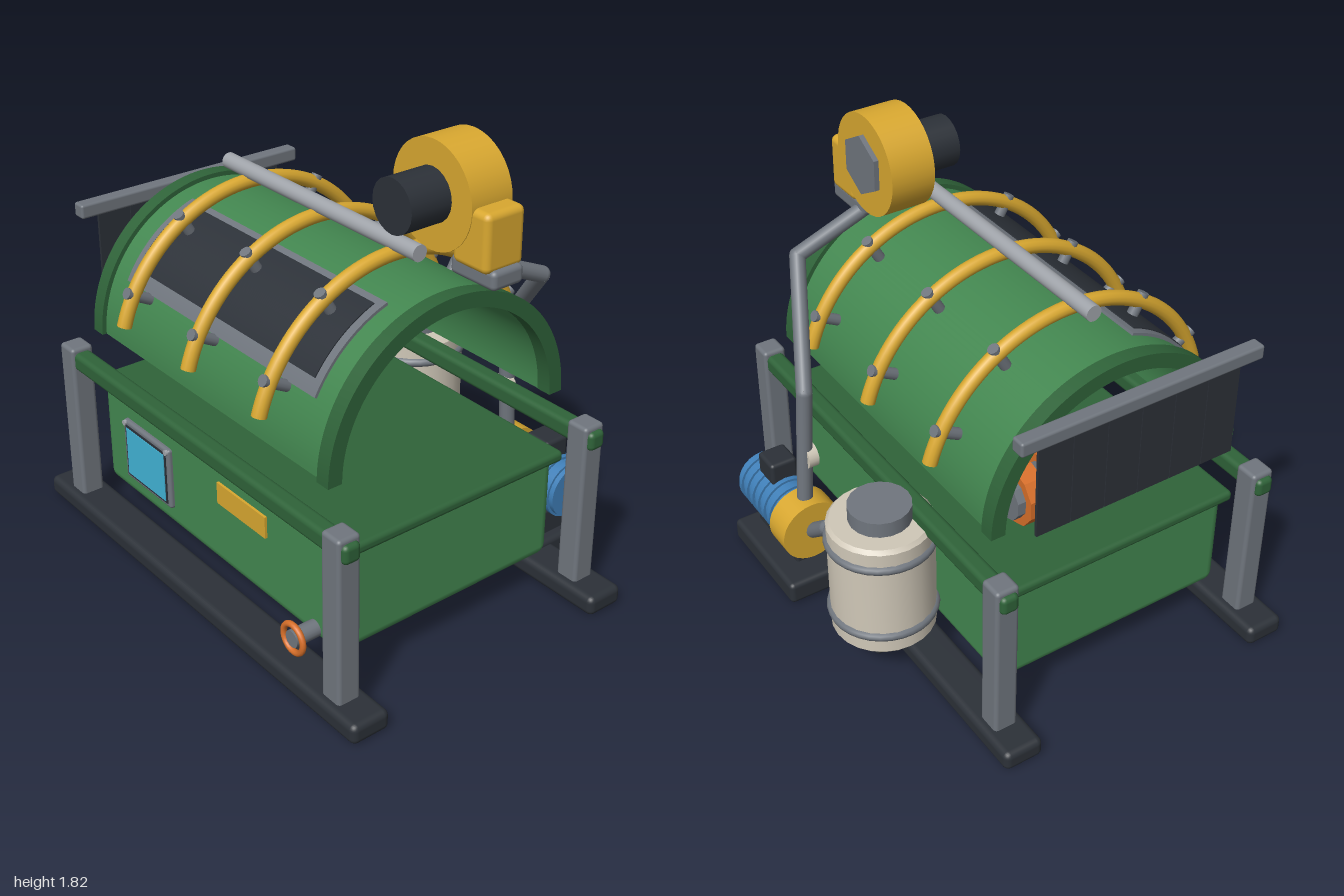
import * as THREE from 'three';
import { toCreasedNormals } from 'three/addons/utils/BufferGeometryUtils.js';
import { RoundedBoxGeometry } from 'three/addons/geometries/RoundedBoxGeometry.js';

const paint = (name, color) => Object.assign(new THREE.MeshStandardMaterial({ color }), { name });
const M = {
  green: paint('green', 0x438750),
  darkGreen: paint('dark green', 0x2f6339),
  dark: paint('charcoal', 0x2c3138),
  grey: paint('grey', 0x70767e),
  silver: paint('silver', 0xa0a4aa),
  yellow: paint('yellow', 0xd9a830),
  orange: paint('orange', 0xd9702a),
  blue: paint('blue', 0x3f7fb8),
  cream: paint('cream', 0xd0c8b8),
  cyan: paint('cyan', 0x42b4d6),
};
const MID = 0.125; // z of the hood axis
const HOOD_Y = 0.83;

export function createModel() {
  const root = new THREE.Group();
  root.name = 'washingMachine';

  const add = (name, geo, mat, parent = root) => {
    const mesh = new THREE.Mesh(geo, mat);
    mesh.name = name;
    parent.add(mesh);
    return mesh;
  };
  // Box given by its limits on each axis, rounded when r > 0
  const box = (name, mat, [x0, x1], [y0, y1], [z0, z1], r = 0) => {
    const s = [x1 - x0, y1 - y0, z1 - z0];
    const geo = r ? new RoundedBoxGeometry(...s, 3, r) : new THREE.BoxGeometry(...s);
    const mesh = add(name, geo, mat);
    mesh.position.set((x0 + x1) / 2, (y0 + y1) / 2, (z0 + z1) / 2);
    return mesh;
  };
  // Cylinder between two points
  const rod = (name, mat, a, b, r, sides = 24) => {
    const p = new THREE.Vector3(...a), q = new THREE.Vector3(...b);
    let geo = new THREE.CylinderGeometry(r, r, p.distanceTo(q), sides);
    if (sides < 12) geo = toCreasedNormals(geo, 0.3);
    const mesh = add(name, geo, mat);
    mesh.position.copy(p).lerp(q, 0.5);
    mesh.quaternion.setFromUnitVectors(new THREE.Vector3(0, 1, 0), q.sub(p).normalize());
    return mesh;
  };
  // Straight pipe runs with ball joints
  const pipe = (name, points, r) => {
    for (let i = 1; i < points.length; i++) {
      rod(name, M.grey, points[i - 1], points[i], r, 16);
      add(name + 'Joint', new THREE.SphereGeometry(r, 16, 10), M.grey).position.set(...points[i]);
    }
  };
  // Curved plate round the hood axis; angles measured from straight up towards the front
  const arch = (name, mat, r0, r1, a0, a1, x0, x1) => {
    const s = new THREE.Shape(), h = Math.PI / 2;
    s.absarc(0, 0, r1, h - a0, h - a1, true);
    s.absarc(0, 0, r0, h - a1, h - a0, false);
    const geo = new THREE.ExtrudeGeometry(s, { depth: x1 - x0, bevelEnabled: false, curveSegments: 40 });
    geo.rotateY(-Math.PI / 2);
    add(name, toCreasedNormals(geo, 0.6), mat).position.set(x1, HOOD_Y, MID);
  };

  // Frame: skids, posts and side rails
  for (const z of [0.685, -0.435]) {
    box('skid', M.dark, [-1, 1], [0, 0.08], [z - 0.08, z + 0.08], 0.025);
    box('sideRail', M.darkGreen, [-0.9, 0.9], [0.645, 0.72], [z - 0.036, z + 0.036], 0.02);
    for (const x of [-0.833, 0.833])
      box('post', M.grey, [x - 0.048, x + 0.048], [0.03, 0.738], [z - 0.047, z + 0.047], 0.015);
  }

  // Wash tank
  box('tankBase', M.dark, [-0.695, 0.695], [0.11, 0.17], [-0.325, 0.575], 0.02);
  box('tankBody', M.green, [-0.75, 0.75], [0.15, 0.59], [-0.375, 0.627], 0.045);
  box('tankLip', M.darkGreen, [-0.78, 0.78], [0.56, 0.605], [-0.39, 0.642], 0.018);
  box('screenFrame', M.grey, [-0.58, -0.26], [0.24, 0.5], [0.61, 0.645], 0.012);
  box('screenBorder', M.dark, [-0.56, -0.278], [0.258, 0.482], [0.643, 0.648]);
  box('screen', M.cyan, [-0.55, -0.288], [0.268, 0.472], [0.646, 0.651]);
  for (const x of [-0.565, -0.275])
    rod('screenBolt', M.silver, [x, 0.487, 0.64], [x, 0.487, 0.652], 0.011, 10);
  box('namePlate', M.yellow, [0.05, 0.345], [0.427, 0.515], [0.62, 0.637]);

  // Drain valve
  rod('valveStem', M.grey, [0.617, 0.2, 0.6], [0.617, 0.2, 0.73], 0.033, 16);
  add('valveWheel', new THREE.TorusGeometry(0.055, 0.012, 10, 28), M.orange).position.set(0.617, 0.2, 0.722);

  // Hood with end flanges and window
  const H = Math.PI / 2;
  arch('hoodShell', M.green, 0.475, 0.512, -H, H, -0.7, 0.7);
  for (const x of [-0.7, 0.7]) arch('hoodFlange', M.darkGreen, 0.472, 0.53, -H, H, x - 0.03, x + 0.03);
  arch('hoodWindowFrame', M.grey, 0.5, 0.523, 0.305, 1.08, -0.573, 0.573);
  arch('hoodWindow', M.dark, 0.5, 0.527, 0.36, 0.97, -0.54, 0.54);

  // Spray hoops with end caps and mounting pegs
  for (const x of [-0.42, 0, 0.42]) {
    const hoop = new THREE.Group();
    hoop.name = 'sprayHoop';
    hoop.position.set(x, 0.81, MID);
    root.add(hoop);
    const end = 1.28;
    const geo = new THREE.TorusGeometry(0.6, 0.028, 12, 48, end * 2);
    geo.rotateZ(H - end).rotateY(-H);
    add('hoopTube', geo, M.yellow, hoop);
    for (const a of [-end, end, -1.08, -0.53, 0.53, 1.08]) {
      const arm = new THREE.Group();
      arm.name = 'hoopFitting';
      arm.rotation.x = a;
      hoop.add(arm);
      if (Math.abs(a) === end) {
        const cap = add('hoopCap', new THREE.CylinderGeometry(0.028, 0.028, 0.008, 12), M.yellow, arm);
        cap.rotation.x = H;
        cap.position.y = 0.6;
      } else {
        add('hoopPeg', new THREE.CylinderGeometry(0.022, 0.022, 0.12, 12), M.grey, arm).position.y = 0.573;
      }
    }
  }
  rod('supplyPipe', M.silver, [-0.55, 1.452, MID], [0.55, 1.452, MID], 0.031);

  // Strip curtain and its hanger
  box('curtainBar', M.grey, [-0.86, -0.802], [1.255, 1.312], [-0.38, 0.63], 0.01);
  for (let i = 0; i < 6; i++) {
    const z = MID + (i - 2.5) * 0.141;
    box('curtainStrip', M.dark, [-0.837, -0.825], [0.875, 1.27], [z - 0.069, z + 0.069]);
  }

  // Brush roller at the hood mouth
  rod('rollerShaft', M.grey, [-0.665, 0.925, -0.305], [-0.665, 0.925, 0.555], 0.08, 10);
  for (let i = -3; i <= 3; i++) {
    const z = MID + i * 0.121;
    rod('rollerRing', M.orange, [-0.665, 0.925, z - 0.036], [-0.665, 0.925, z + 0.036], 0.112, 10);
  }

  // Blower
  rod('blowerHousing', M.yellow, [0.5, 1.622, -0.145], [0.5, 1.622, 0.035], 0.198, 36);
  box('blowerOutlet', M.yellow, [0.6, 0.77], [1.415, 1.632], [-0.142, 0.032], 0.025);
  rod('blowerMotor', M.dark, [0.5, 1.625, 0.03], [0.5, 1.625, 0.207], 0.1, 20);
  rod('blowerCover', M.grey, [0.5, 1.625, -0.165], [0.5, 1.625, -0.14], 0.12, 6);
  box('blowerFoot', M.grey, [0.57, 0.787], [1.357, 1.43], [-0.13, 0.01], 0.02);

  // Air duct down to the pump
  pipe('duct', [[0.6, 1.395, -0.06], [0.62, 1.255, -0.385], [0.28, 0.89, -0.565], [0.28, 0.4, -0.595]], 0.031);
  rod('gauge', M.cream, [0.28, 0.6, -0.587], [0.28, 0.6, -0.545], 0.05, 20);
  box('gaugeNeedle', M.orange, [0.277, 0.283], [0.6, 0.64], [-0.546, -0.542]);

  // Pump and motor on their plinth
  box('pumpPlinth', M.dark, [0.155, 0.645], [0.005, 0.1], [-0.745, -0.42], 0.02);
  box('pumpCradle', M.dark, [0.27, 0.6], [0.09, 0.2], [-0.655, -0.5], 0.01);
  rod('pumpHousing', M.yellow, [0.215, 0.28, -0.6], [0.335, 0.28, -0.6], 0.13, 28);
  rod('pumpMotor', M.blue, [0.33, 0.28, -0.6], [0.645, 0.28, -0.6], 0.107, 24);
  for (let i = 0; i < 6; i++) {
    const x = 0.375 + i * 0.048;
    rod('motorFin', M.blue, [x - 0.01, 0.28, -0.6], [x + 0.01, 0.28, -0.6], 0.117, 24);
  }
  box('junctionBox', M.dark, [0.437, 0.555], [0.37, 0.47], [-0.655, -0.54], 0.015);
  pipe('suctionPipe', [[0.22, 0.28, -0.6], [0.1, 0.38, -0.6], [-0.1, 0.42, -0.56]], 0.031);

  // Filter vessel
  const profile = [[0, 0.175], [0.185, 0.175], [0.198, 0.19], [0.198, 0.655], [0.185, 0.67], [0, 0.67]];
  const vessel = new THREE.LatheGeometry(profile.map((p) => new THREE.Vector2(...p)), 24);
  add('filterVessel', toCreasedNormals(vessel, 0.5), M.cream).position.set(-0.25, 0, -0.56);
  rod('filterCap', M.grey, [-0.25, 0.66, -0.56], [-0.25, 0.732, -0.56], 0.118, 18);
  box('filterFoot', M.dark, [-0.355, -0.145], [0.107, 0.18], [-0.655, -0.465], 0.015);
  for (const y of [0.262, 0.583]) {
    const band = add('filterBand', new THREE.TorusGeometry(0.192, 0.019, 10, 32), M.grey);
    band.rotation.x = H;
    band.position.set(-0.25, y, -0.56);
  }

  return root;
}
